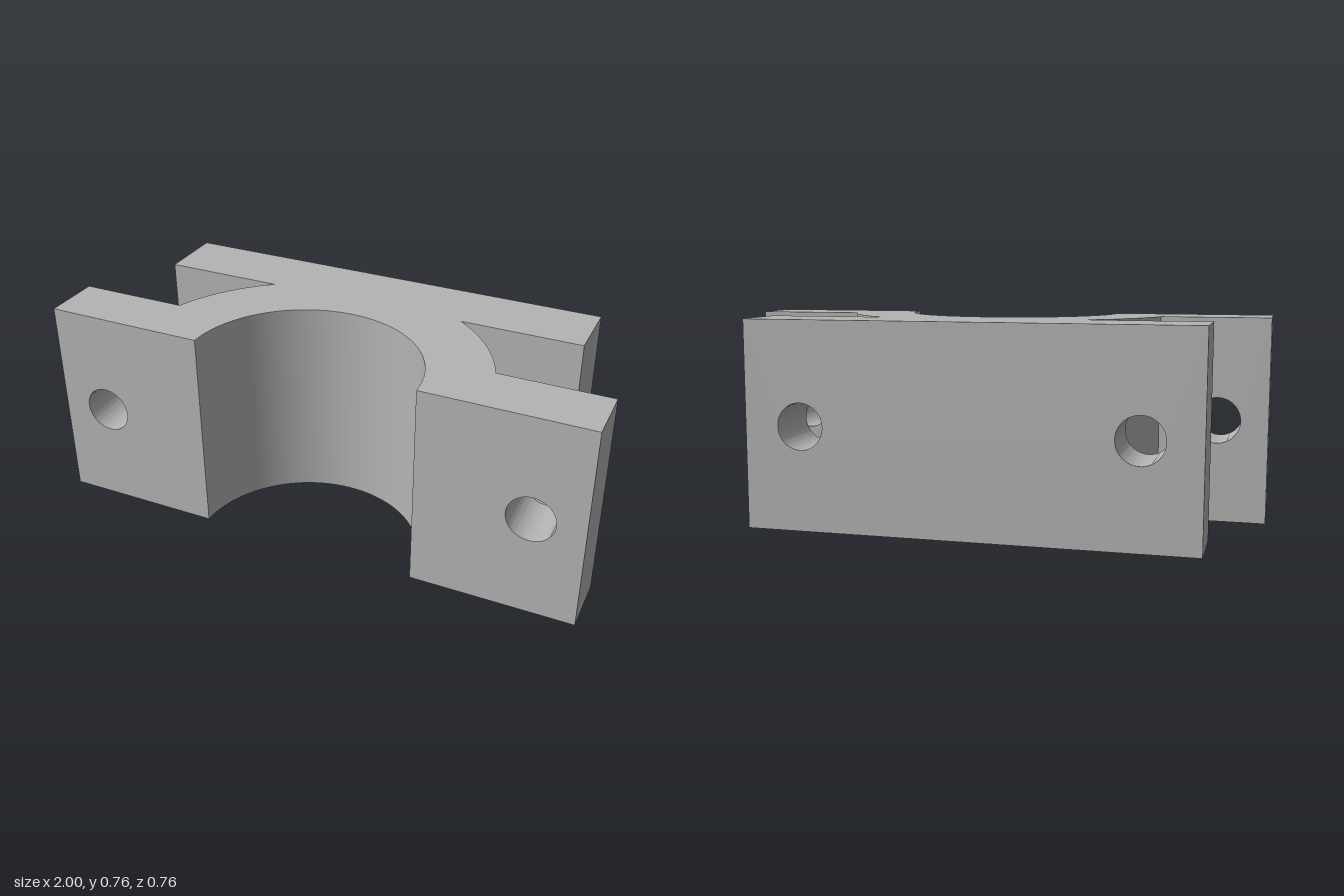
import * as THREE from 'three';
import { toCreasedNormals } from 'three/addons/utils/BufferGeometryUtils.js';

const H = 0.76;            // height of the extrusion
const FRONT = 0.38;        // z of the front face
const FLANGE_BACK = 0.167; // z of the rear face of the flanges
const PLATE_FRONT = -0.138;// z of the front face of the back plate
const BORE = 0.408;        // radius of the half bore
const OUTER = 0.638;       // outer radius of the saddle
const HOLE = 0.085;        // bolt hole radius

const steel = new THREE.MeshStandardMaterial({ color: 0xb4b4b4 });
steel.name = 'grey steel';

function extrude(shape, depth) {
  const geo = new THREE.ExtrudeGeometry(shape, { depth, bevelEnabled: false, curveSegments: 40 });
  return toCreasedNormals(geo, 0.5);
}

// Upright plate from x0 to x1 and z0 to z1, with round bolt holes at mid height
function drilledPlate(name, x0, x1, z0, z1, holes) {
  const shape = new THREE.Shape();
  shape.moveTo(x0, 0).lineTo(x1, 0).lineTo(x1, H).lineTo(x0, H).closePath();
  for (const x of holes) {
    shape.holes.push(new THREE.Path().absarc(x, H / 2, HOLE, 0, Math.PI * 2, true));
  }
  const mesh = new THREE.Mesh(extrude(shape, z1 - z0), steel);
  mesh.position.z = z0;
  mesh.name = name;
  return mesh;
}

export function createModel() {
  const model = new THREE.Group();
  model.name = 'pipeClampBracket';

  // Saddle: half ring around the bore, drawn in plan (shape y = -z)
  const a0 = Math.asin((FRONT - FLANGE_BACK) / OUTER);
  const a1 = Math.asin((FRONT - PLATE_FRONT) / OUTER);
  const rootX = OUTER * Math.cos(a0);
  const plan = new THREE.Shape();
  plan.moveTo(BORE, -FRONT);
  plan.lineTo(rootX, -FRONT);
  plan.absarc(0, -FRONT, OUTER, a0, a1, false);
  plan.absarc(0, -FRONT, OUTER, Math.PI - a1, Math.PI - a0, false);
  plan.lineTo(-rootX, -FRONT);
  plan.lineTo(-BORE, -FRONT);
  plan.absarc(0, -FRONT, BORE, Math.PI, 0, true);
  const saddle = new THREE.Mesh(extrude(plan, H).rotateX(-Math.PI / 2), steel);
  saddle.name = 'saddle';
  model.add(saddle);

  // Front flanges, one bolt hole each
  model.add(drilledPlate('leftFlange', rootX, 1, FLANGE_BACK, FRONT, [0.815]));
  model.add(drilledPlate('rightFlange', -1, -rootX, FLANGE_BACK, FRONT, [-0.815]));

  // Back mounting plate with two bolt holes
  model.add(drilledPlate('backPlate', -0.815, 0.815, -FRONT, PLATE_FRONT, [-0.605, 0.605]));

  return model;
}
